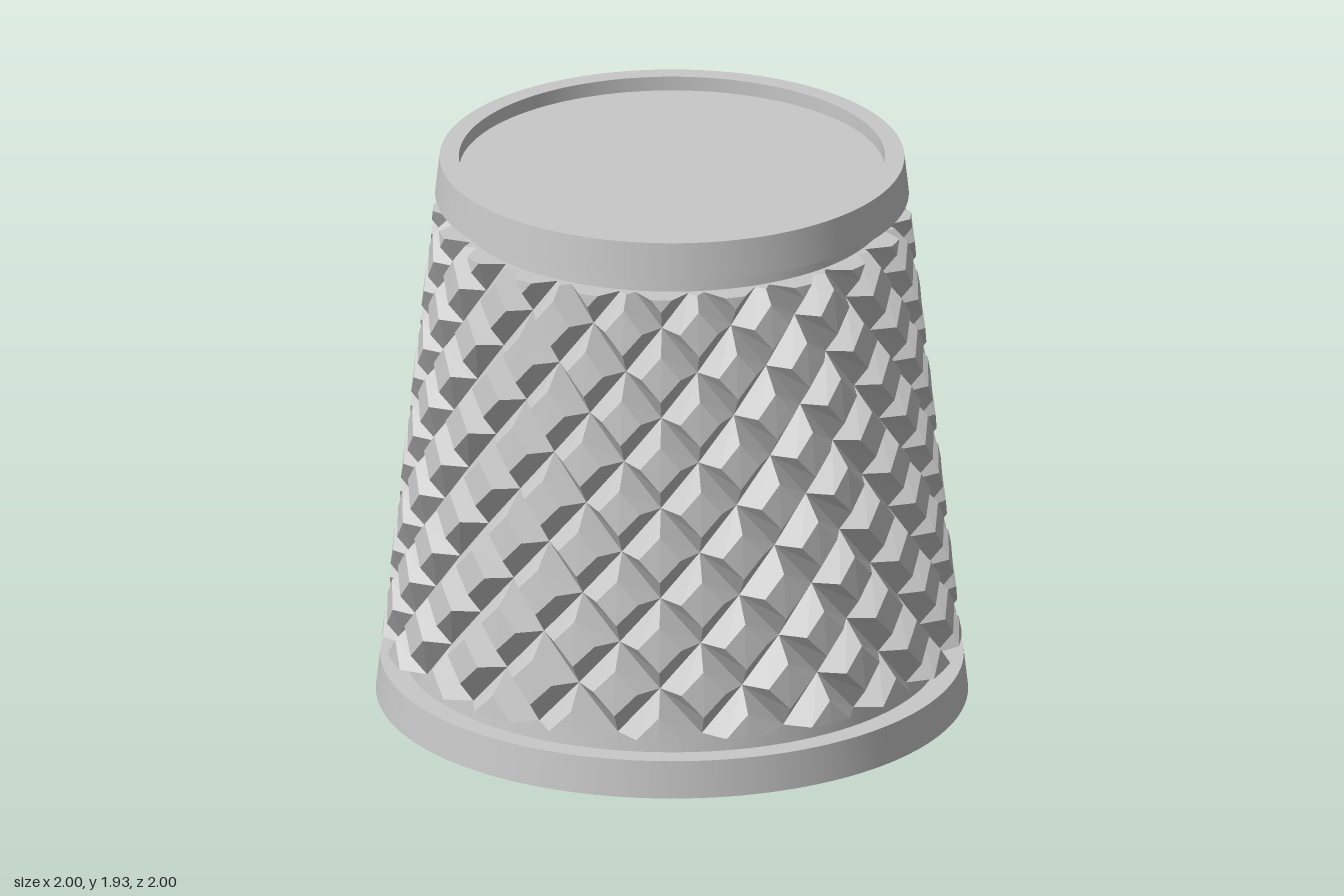
import * as THREE from 'three';
import { mergeGeometries } from 'three/addons/utils/BufferGeometryUtils.js';

// Outer cone shared by the rims and the knurl
const coneR = (y) => 1 - 0.111 * y;

// Revolves each profile segment separately so that the edges stay sharp
function turned(points) {
  const parts = [];
  for (let i = 0; i + 1 < points.length; i++) {
    const pair = [points[i], points[i + 1]].map(([r, y]) => new THREE.Vector2(r, y));
    parts.push(new THREE.LatheGeometry(pair, 128));
  }
  return mergeGeometries(parts);
}

// Keeps the part of a polygon of [angle, y, depth] points on one side of a height
function clip(poly, limit, sign) {
  const out = [];
  poly.forEach((p, i) => {
    const q = poly[(i + 1) % poly.length];
    const dp = sign * (p[1] - limit), dq = sign * (q[1] - limit);
    if (dp >= 0) out.push(p);
    if (dp * dq < 0) {
      const t = dp / (dp - dq);
      out.push([p[0] + (q[0] - p[0]) * t, limit, p[2] + (q[2] - p[2]) * t]);
    }
  });
  return out;
}

// Staggered diamond studs with flat tops and bevelled sides
function knurl(y0, y1) {
  const columns = 20, halfA = Math.PI / columns, halfY = 0.157;
  const depth = 0.07, coreDepth = 0.09, flat = 0.5;
  const pos = [];

  const fan = (poly) => {
    const v = poly.map(([a, y, d]) => {
      const r = coneR(y) - d;
      return [r * Math.sin(a), y, r * Math.cos(a)];
    });
    for (let i = 1; i + 1 < v.length; i++) pos.push(...v[0], ...v[i], ...v[i + 1]);
  };

  const addFace = (face) => {
    const poly = clip(clip(face, y0, 1), y1, -1);
    if (poly.length < 3) return;
    fan(poly);
    // End caps where the studs are cut off
    poly.forEach((p, i) => {
      const q = poly[(i + 1) % poly.length];
      const onEnd = [y0, y1].some((y) => Math.abs(p[1] - y) < 1e-6 && Math.abs(q[1] - y) < 1e-6);
      if (onEnd) fan([q, p, [p[0], p[1], coreDepth], [q[0], q[1], coreDepth]]);
    });
  };

  for (let row = 0; row <= 10; row++) {
    for (let col = 0; col < columns; col++) {
      const a = (2 * col + (row % 2)) * halfA;
      const y = y0 + row * halfY;
      const ring = (s, d) => [[1, 0], [0, 1], [-1, 0], [0, -1]]
        .map(([u, v]) => [a + u * s * halfA, y + v * s * halfY, d]);
      const top = ring(flat, 0), base = ring(1, depth);
      addFace([top[0], top[1], top[3]]);
      addFace([top[1], top[2], top[3]]);
      for (let i = 0; i < 4; i++) {
        const j = (i + 1) % 4;
        addFace([base[i], base[j], top[j], top[i]]);
      }
    }
  }

  const geometry = new THREE.BufferGeometry();
  geometry.setAttribute('position', new THREE.Float32BufferAttribute(pos, 3));
  geometry.computeVertexNormals();
  return geometry;
}

export function createModel() {
  const grey = new THREE.MeshStandardMaterial({ color: 0xc8c8c8 });
  grey.name = 'plain grey';
  const group = new THREE.Group();
  group.name = 'knurledKnob';

  const add = (name, geometry) => {
    const mesh = new THREE.Mesh(geometry, grey);
    mesh.name = name;
    group.add(mesh);
  };

  // Bottom rim with the blind bore
  add('bottomRim', turned([
    [0, 0.67], [0.62, 0.67], [0.62, 0], [1, 0], [coneR(0.13), 0.13], [0.89, 0.13],
  ]));

  // Tapered core, visible as a groove above and below the knurl
  add('core', turned([[0.905, 0.13], [0.718, 1.802]]));

  add('knurledGrip', knurl(0.2, 1.735));

  // Top rim around a shallow recess
  add('topRim', turned([
    [0.71, 1.802], [coneR(1.802), 1.802], [coneR(1.935), 1.935], [0.72, 1.935], [0.72, 1.885],
  ]));
  add('topRecess', turned([[0.72, 1.885], [0, 1.885]]));

  return group;
}
